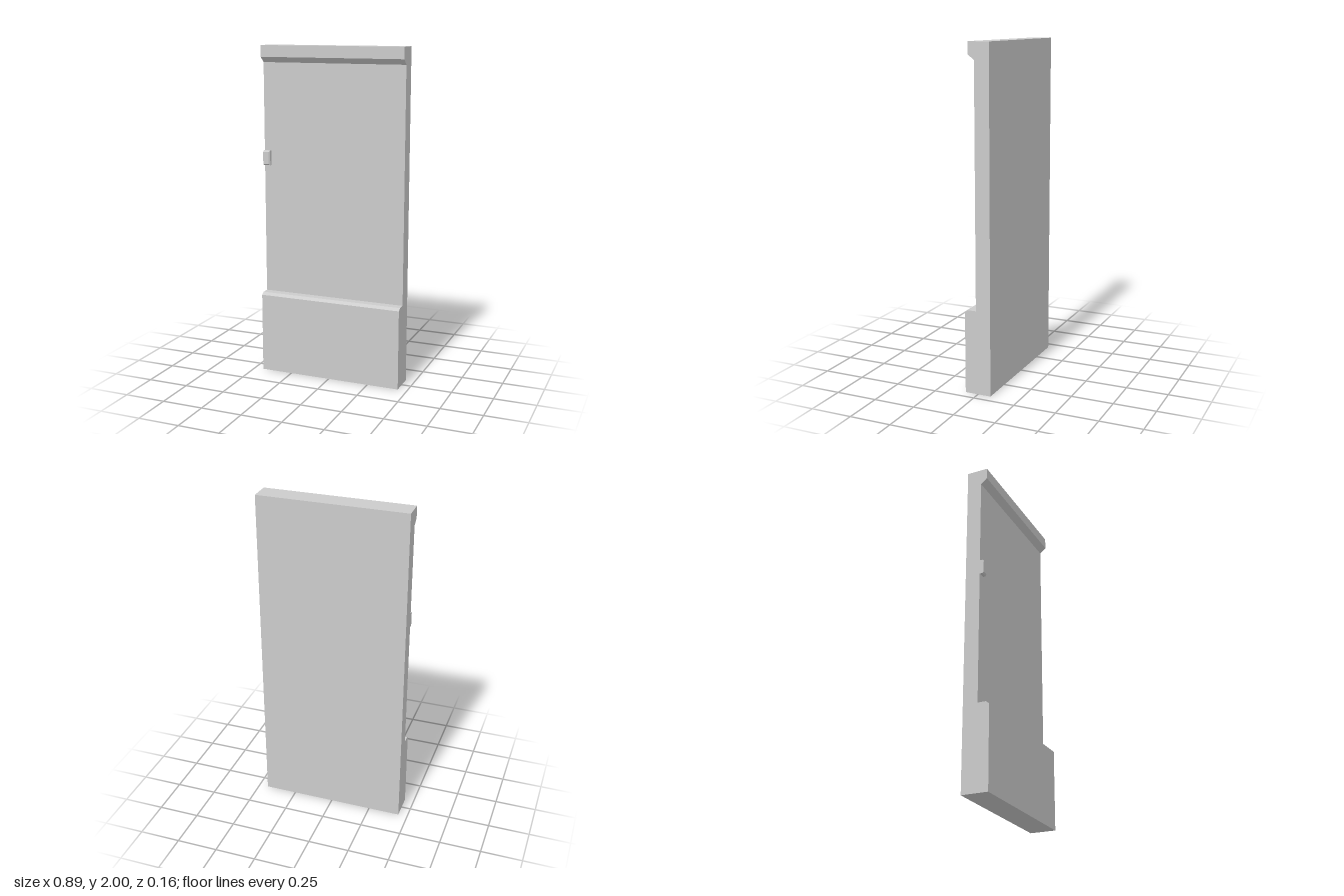
import * as THREE from 'three';

const WIDTH = 0.886;

export function createModel() {
  const group = new THREE.Group();
  const material = new THREE.MeshStandardMaterial({ color: 0xcccccc, flatShading: true });

  // Wall panel: side profile (z, y) with a thick chamfered base and a sloped cornice
  const profile = new THREE.Shape([
    [-0.079, 0], [0.079, 0], [0.079, 0.484], [0.058, 0.498], [0.01, 0.498],
    [0.01, 1.9], [0.048, 1.932], [0.048, 2], [-0.079, 2],
  ].map(([z, y]) => new THREE.Vector2(z, y)));
  const panelGeometry = new THREE.ExtrudeGeometry(profile, { depth: WIDTH, bevelEnabled: false });
  panelGeometry.translate(0, 0, -WIDTH / 2).rotateY(-Math.PI / 2);
  const panel = new THREE.Mesh(panelGeometry, material);
  panel.name = 'wallPanel';
  group.add(panel);

  // Wall switch: bevelled plate cut off flush with the panel's side edge
  const bevel = 0.008;
  const [x0, x1, y0, y1] = [-0.48, -0.4 - bevel, 1.287 + bevel, 1.375 - bevel];
  const plate = new THREE.Shape([
    new THREE.Vector2(x0, y0), new THREE.Vector2(x1, y0),
    new THREE.Vector2(x1, y1), new THREE.Vector2(x0, y1),
  ]);
  const switchGeometry = new THREE.ExtrudeGeometry(plate, {
    depth: 0.022, bevelThickness: bevel, bevelSize: bevel, bevelSegments: 1,
  });
  switchGeometry.translate(0, 0, 0.005);
  const position = switchGeometry.attributes.position;
  for (let i = 0; i < position.count; i++) {
    position.setX(i, Math.max(position.getX(i), -WIDTH / 2));
  }
  switchGeometry.computeVertexNormals();
  const wallSwitch = new THREE.Mesh(switchGeometry, material);
  wallSwitch.name = 'wallSwitch';
  group.add(wallSwitch);

  return group;
}
